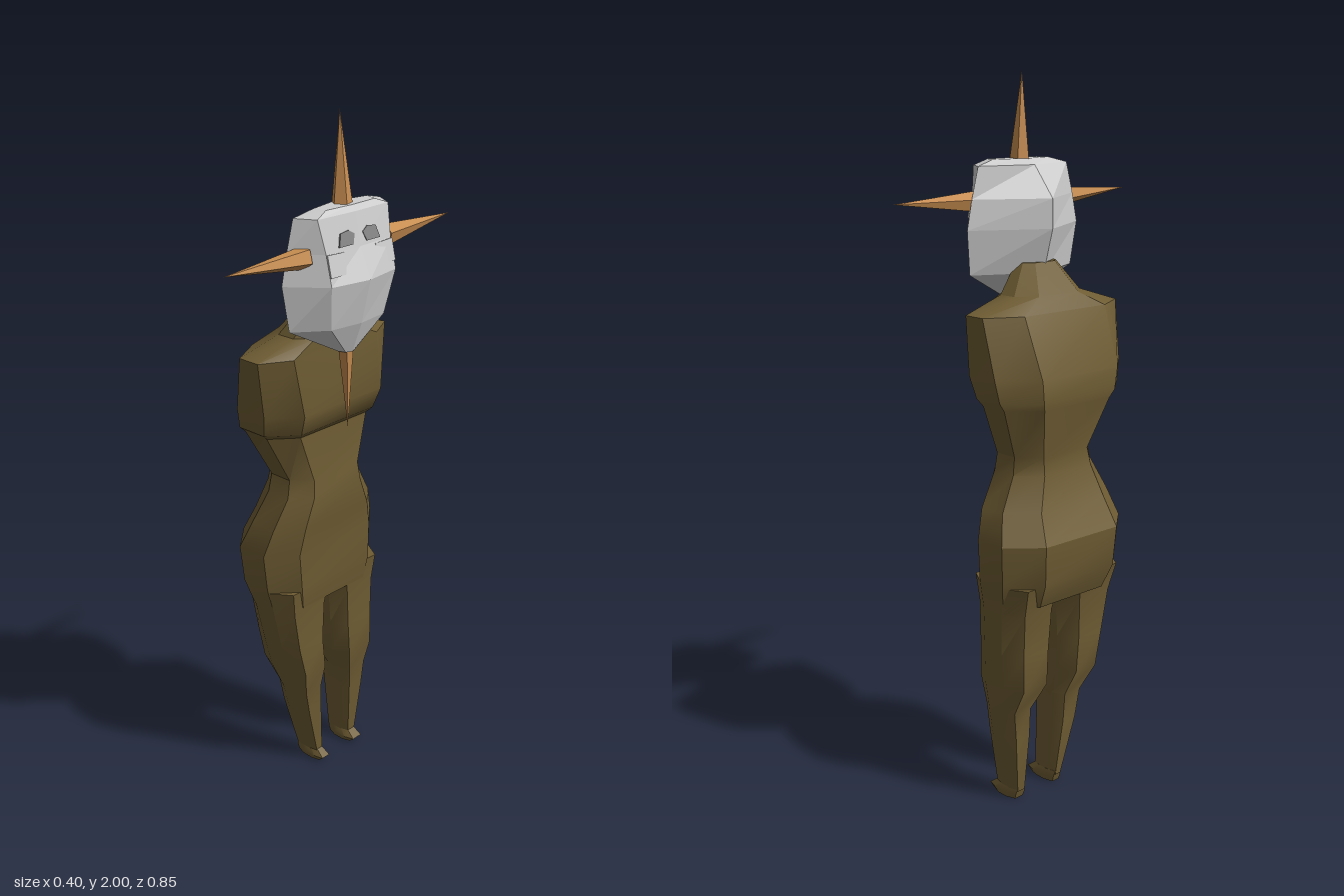
import * as THREE from 'three';
import { toCreasedNormals } from 'three/addons/utils/BufferGeometryUtils.js';

const hide = new THREE.MeshStandardMaterial({ name: 'olive brown', color: 0x6e5c33 });
const bone = new THREE.MeshStandardMaterial({ name: 'pale grey', color: 0xcccccc });
const horn = new THREE.MeshStandardMaterial({ name: 'tan', color: 0xc68c50 });
const shade = new THREE.MeshStandardMaterial({ name: 'dark grey', color: 0x858585 });

// Skin a stack of rings (bottom to top) and close both ends
function loft(rings) {
  const out = [];
  const n = rings[0].length;
  const tri = (a, b, c) => out.push(...a, ...b, ...c);
  const centre = (r) => [0, 1, 2].map((k) => r.reduce((s, p) => s + p[k], 0) / n);
  for (let i = 0; i < rings.length - 1; i++) {
    for (let j = 0; j < n; j++) {
      const k = (j + 1) % n;
      const [a, b, c, d] = [rings[i][j], rings[i][k], rings[i + 1][j], rings[i + 1][k]];
      tri(a, c, b);
      tri(b, c, d);
    }
  }
  const low = rings[0], top = rings[rings.length - 1];
  for (let j = 0; j < n; j++) {
    const k = (j + 1) % n;
    tri(centre(low), low[j], low[k]);
    tri(centre(top), top[k], top[j]);
  }
  const g = new THREE.BufferGeometry();
  g.setAttribute('position', new THREE.Float32BufferAttribute(out, 3));
  g.computeVertexNormals();
  return g;
}

// Eight-sided section from [y, xBack, xFront, zRight, zLeft]
function section([y, x0, x1, z0, z1]) {
  const unit = [[1, -0.65], [1, 0.65], [0.45, 1], [-0.35, 1], [-1, 0.6], [-1, -0.6], [-0.35, -1], [0.45, -1]];
  return unit.map(([u, v]) => [(x0 + x1) / 2 + u * (x1 - x0) / 2, y, (z0 + z1) / 2 + v * (z1 - z0) / 2]);
}

function add(parent, name, geometry, material) {
  const mesh = new THREE.Mesh(geometry, material);
  mesh.name = name;
  parent.add(mesh);
  return mesh;
}

const body = (rows) => toCreasedNormals(loft(rows.map(section)), 0.5);

export function createModel() {
  const model = new THREE.Group();
  model.name = 'hornedFigure';

  // Torso: hips, narrow waist, overhanging chest, shoulders, neck
  add(model, 'torso', body([
    [0.60, -0.17, 0.025, -0.25, 0.14],
    [0.67, -0.2, 0.035, -0.265, 0.16],
    [0.78, -0.205, 0.035, -0.27, 0.172],
    [0.86, -0.165, 0.045, -0.24, 0.15],
    [0.95, -0.135, 0.055, -0.18, 0.108],
    [1.0, -0.13, 0.045, -0.175, 0.095],
    [1.14, -0.17, 0.04, -0.235, 0.165],
    [1.16, -0.172, 0.062, -0.245, 0.19],
    [1.22, -0.172, 0.085, -0.255, 0.205],
    [1.38, -0.1, 0.068, -0.258, 0.232],
    [1.42, -0.07, 0.068, -0.13, 0.11],
    [1.5, -0.005, 0.065, -0.06, 0.06],
  ]), hide);

  // Legs, slightly different left and right
  const legs = {
    left: [
      [0.03, -0.1, -0.015, -0.055, -0.022], [0.2, -0.115, -0.005, -0.048, 0.03],
      [0.28, -0.115, 0.0, -0.045, 0.052], [0.36, -0.155, 0.022, -0.045, 0.08],
      [0.46, -0.155, 0.02, -0.04, 0.107], [0.58, -0.16, 0.022, -0.05, 0.135],
      [0.66, -0.18, 0.03, -0.07, 0.155]],
    right: [
      [0.03, -0.1, -0.015, -0.202, -0.16], [0.2, -0.115, -0.005, -0.228, -0.146],
      [0.28, -0.115, 0.0, -0.237, -0.138], [0.36, -0.155, 0.022, -0.246, -0.105],
      [0.46, -0.155, 0.02, -0.248, -0.098], [0.58, -0.16, 0.022, -0.25, -0.088],
      [0.66, -0.18, 0.03, -0.262, -0.07]],
  };
  for (const [side, rows] of Object.entries(legs)) {
    add(model, side + 'Leg', body(rows), hide);
    const [, , , z0, z1] = rows[0];
    add(model, side + 'Foot', body([
      [0.005, -0.09, -0.005, z0 - 0.003, z1 + 0.003],
      [0.02, -0.095, 0.012, z0 - 0.006, z1 + 0.006],
      [0.04, -0.1, -0.015, z0, z1],
    ]), hide);
  }

  // Head: wedge-backed mask, rows of [y, xBack, xSide, zSide, xCheek, zCheek, xNose]
  const headRows = [
    [1.385, 0.1, 0.11, 0.025, 0.13, 0.018, 0.137],
    [1.47, 0.0, 0.09, 0.185, 0.155, 0.1, 0.168],
    [1.59, -0.035, 0.08, 0.2, 0.175, 0.12, 0.196],
    [1.67, -0.035, 0.08, 0.183, 0.155, 0.12, 0.16],
    [1.755, 0.035, 0.08, 0.16, 0.135, 0.13, 0.14],
    [1.77, 0.07, 0.09, 0.1, 0.125, 0.09, 0.13],
  ];
  const head = loft(headRows.map(([y, b, s, zs, c, zc, n]) => [
    [n, y, 0], [c, y, zc], [s, y, zs], [b, y, 0], [s, y, -zs], [c, y, -zc],
  ]));
  add(model, 'head', head, bone);

  // Eyes and brows: thin plates on the face
  const plate = (pts) => {
    const g = new THREE.ExtrudeGeometry(new THREE.Shape(pts.map((p) => new THREE.Vector2(...p))),
      { depth: 0.008, bevelEnabled: false });
    return g.rotateY(Math.PI / 2);
  };
  for (const s of [1, -1]) {
    const side = s > 0 ? 'left' : 'right';
    const eye = [[-0.03, -0.03], [0.025, -0.03], [0.035, 0.025], [-0.03, 0.028]];
    const brow = [[-0.03, -0.015], [0.02, -0.015], [0.03, 0.01], [0.01, 0.022], [-0.02, 0.018]];
    const flip = (pts) => pts.map(([x, y]) => [x * s, y]);
    const e = add(model, side + 'Eye', plate(flip(eye)), bone);
    e.position.set(0.159, 1.64, s * 0.09);
    e.rotation.z = 0.24;
    const b = add(model, side + 'Brow', plate(flip(brow)), shade);
    b.position.set(0.148, 1.692, s * 0.045);
    b.rotation.z = 0.24;
  }

  // Four horns: crown, chin and both temples
  const spike = (name, base, tip, radius) => {
    const a = new THREE.Vector3(...base), d = new THREE.Vector3(...tip).sub(a);
    const g = new THREE.ConeGeometry(radius, d.length(), 5).toNonIndexed();
    g.translate(0, d.length() / 2, 0);
    g.computeVertexNormals();
    const m = add(model, name, g, horn);
    m.position.copy(a);
    m.quaternion.setFromUnitVectors(new THREE.Vector3(0, 1, 0), d.normalize());
  };
  spike('crownHorn', [0.095, 1.75, 0], [0.085, 2, 0], 0.03);
  spike('chinHorn', [0.11, 1.43, 0], [0.107, 1.16, -0.018], 0.025);
  spike('leftHorn', [0.11, 1.66, 0.15], [0.115, 1.67, 0.425], 0.03);
  spike('rightHorn', [0.105, 1.66, -0.15], [0.1, 1.67, -0.425], 0.03);

  return model;
}
